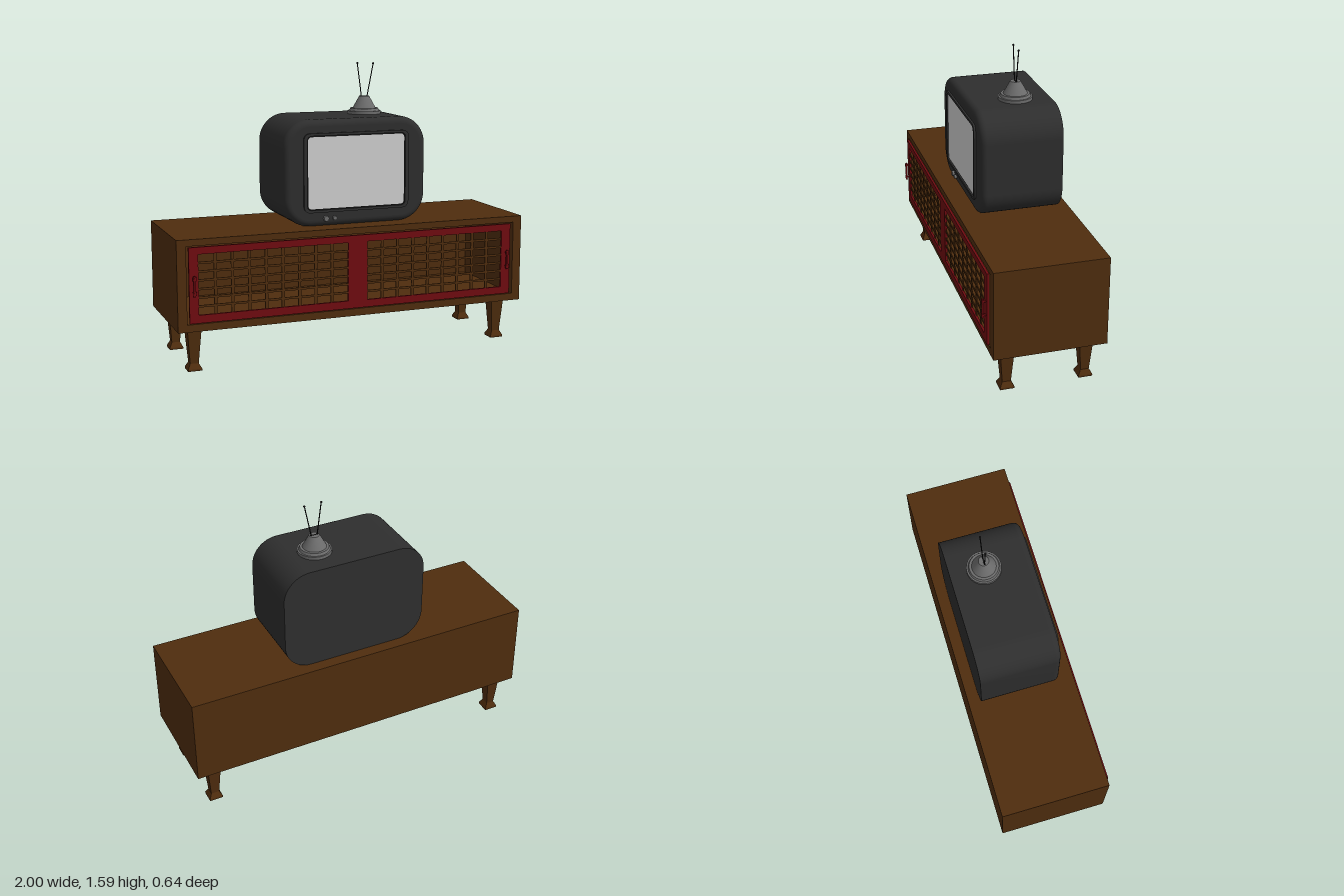
import * as THREE from 'three';

const mat = (name, color, side = THREE.FrontSide) => {
  const m = new THREE.MeshStandardMaterial({ color, side });
  m.name = name;
  return m;
};

// Rounded rectangle as a counter-clockwise list of points
function roundedRect(w, h, r, steps = 12) {
  const pts = [];
  const corners = [[1, 1], [-1, 1], [-1, -1], [1, -1]];
  corners.forEach(([sx, sy], k) => {
    for (let i = 0; i <= steps; i++) {
      const a = (k + i / steps) * Math.PI / 2;
      pts.push(new THREE.Vector2(sx * (w / 2 - r) + Math.cos(a) * r, sy * (h / 2 - r) + Math.sin(a) * r));
    }
  });
  return pts;
}

// Television shell: straight sides, flat back, softly rounded front edge
function shellGeometry(w, h, r, back, front, edge) {
  const rings = [[0, back], [0, front - edge]];
  for (let i = 1; i <= 8; i++) {
    const a = i / 8 * Math.PI / 2;
    rings.push([edge * (1 - Math.cos(a)), front - edge + edge * Math.sin(a)]);
  }
  const pos = [], idx = [];
  const addRing = ([d, z]) => {
    const pts = roundedRect(w - 2 * d, h - 2 * d, r - d);
    pts.forEach(p => pos.push(p.x, p.y, z));
    return pts.length;
  };
  let n = 0;
  rings.forEach(ring => { n = addRing(ring); });
  for (let i = 0; i < rings.length - 1; i++) {
    for (let j = 0; j < n; j++) {
      const k = (j + 1) % n;
      const a = i * n + j, b = i * n + k, c = b + n, d = a + n;
      idx.push(a, b, c, a, c, d);
    }
  }
  // Flat end caps with their own vertices
  [rings[0], rings[rings.length - 1]].forEach((ring, cap) => {
    const s = pos.length / 3;
    addRing(ring);
    for (let j = 1; j < n - 1; j++) {
      if (cap) idx.push(s, s + j, s + j + 1);
      else idx.push(s, s + j + 1, s + j);
    }
  });
  const g = new THREE.BufferGeometry();
  g.setAttribute('position', new THREE.Float32BufferAttribute(pos, 3));
  g.setIndex(idx);
  g.computeVertexNormals();
  return g;
}

// Flat frame with one or more rectangular holes: rectangles are [x0, x1, y0, y1]
function frameGeometry(outer, holes, depth) {
  const corners = ([x0, x1, y0, y1]) => [[x0, y0], [x1, y0], [x1, y1], [x0, y1]].map(p => new THREE.Vector2(...p));
  const shape = new THREE.Shape(corners(outer));
  holes.forEach(h => shape.holes.push(new THREE.Path(corners(h))));
  return new THREE.ExtrudeGeometry(shape, { depth, bevelEnabled: false });
}

export function createModel() {
  const wood = mat('brown wood', 0x4f2d0e);
  const red = mat('dark red', 0x700b10);
  const plastic = mat('charcoal plastic', 0x2e2e2e);
  const glass = mat('pale screen', 0xd0d0d0);
  const metal = mat('grey metal', 0x6c6c6c);
  const black = mat('black', 0x121212);
  const woodFlat = wood.clone();
  woodFlat.flatShading = true;

  const model = new THREE.Group();
  const group = (name, parent = model) => {
    const g = new THREE.Group();
    g.name = name;
    parent.add(g);
    return g;
  };
  const add = (parent, name, geo, m, x = 0, y = 0, z = 0) => {
    const mesh = new THREE.Mesh(geo, m);
    mesh.name = name;
    mesh.position.set(x, y, z);
    parent.add(mesh);
    return mesh;
  };
  const box = (parent, name, m, w, h, d, x, y, z) =>
    add(parent, name, new THREE.BoxGeometry(w, h, d), m, x, y, z);

  // Hollow cabinet
  const cabinet = group('cabinet');
  add(cabinet, 'carcass', frameGeometry([-1, 1, 0.23, 0.72], [[-0.95, 0.95, 0.27, 0.685]], 0.585), wood, 0, 0, -0.3);
  box(cabinet, 'backPanel', wood, 2, 0.49, 0.02, 0, 0.475, -0.31);

  // Square legs that taper down to a flared foot
  const legProfile = [[0, 0], [0.038, 0], [0.038, 0.01], [0.023, 0.038], [0.038, 0.225], [0.038, 0.235], [0, 0.235]]
    .map(([half, y]) => new THREE.Vector2(half * Math.SQRT2, y));
  const legGeo = new THREE.LatheGeometry(legProfile, 4, Math.PI / 4);
  for (const x of [-0.9, 0.89]) {
    for (const z of [0.19, -0.235]) add(cabinet, 'leg', legGeo, woodFlat, x, 0, z);
  }

  // Doors with lattice panels and pull handles
  const doors = [
    { name: 'rightDoor', outer: [-0.94, -0.01, 0.277, 0.68], hole: [-0.89, -0.06, 0.32, 0.642], handle: -0.915 },
    { name: 'leftDoor', outer: [-0.01, 0.925, 0.277, 0.68], hole: [0.05, 0.87, 0.318, 0.642], handle: 0.9 },
  ];
  for (const { name, outer, hole, handle } of doors) {
    const door = group(name);
    add(door, 'doorFrame', frameGeometry(outer, [hole], 0.013), red, 0, 0, 0.284);
    const [x0, x1, y0, y1] = hole;
    const w = x1 - x0, h = y1 - y0;
    for (let i = 1; i < 9; i++) {
      box(door, 'uprightSlat', wood, 0.016, h, 0.006, x0 + w * i / 9, (y0 + y1) / 2, 0.287);
    }
    for (let i = 1; i < 7; i++) {
      box(door, 'crossSlat', wood, w, 0.012, 0.005, (x0 + x1) / 2, y0 + h * i / 7, 0.291);
    }
    const pull = group('handle', door);
    box(pull, 'handleBar', red, 0.01, 0.11, 0.01, handle, 0.477, 0.312);
    for (const y of [0.439, 0.517]) {
      const post = add(pull, 'handlePost', new THREE.CylinderGeometry(0.006, 0.006, 0.026, 10), red, handle, y, 0.307);
      post.rotation.x = Math.PI / 2;
      box(pull, 'handleCollar', red, 0.02, 0.02, 0.008, handle, y, 0.314);
    }
  }

  // Television body
  const tv = group('television');
  const cx = 0.0275;
  add(tv, 'shell', shellGeometry(0.825, 0.58, 0.15, -0.255, 0.19, 0.035), plastic, cx, 1.01, 0);

  // Raised screen surround and the screen itself
  const surround = new THREE.Shape(roundedRect(0.61, 0.43, 0.035, 6));
  surround.holes.push(new THREE.Path(roundedRect(0.572, 0.402, 0.024, 6).reverse()));
  add(tv, 'screenSurround', new THREE.ExtrudeGeometry(surround, { depth: 0.015, bevelEnabled: false }),
    plastic, cx, 1.013, 0.186);
  add(tv, 'screenGap', new THREE.ShapeGeometry(new THREE.Shape(roundedRect(0.58, 0.41, 0.026, 6))),
    black, cx, 1.013, 0.192);
  add(tv, 'screen', new THREE.ShapeGeometry(new THREE.Shape(roundedRect(0.56, 0.39, 0.02, 6))),
    glass, cx, 1.013, 0.195);

  // Control knobs
  for (const [x, r] of [[-0.15, 0.017], [-0.1, 0.013]]) {
    const knob = add(tv, 'knob', new THREE.CylinderGeometry(r * 0.85, r, 0.018, 20), metal, x, 0.763, 0.194);
    knob.rotation.x = Math.PI / 2;
  }

  // Antenna: stepped base, cone and two rods
  const antenna = group('antenna');
  antenna.position.set(0.177, 1.3, -0.07);
  add(antenna, 'basePlate', new THREE.CylinderGeometry(0.093, 0.093, 0.018, 32), metal, 0, 0.008, 0);
  add(antenna, 'baseStep', new THREE.CylinderGeometry(0.078, 0.084, 0.014, 32), metal, 0, 0.024, 0);
  add(antenna, 'baseCone', new THREE.CylinderGeometry(0.028, 0.066, 0.069, 32), metal, 0, 0.0635, 0);
  box(antenna, 'rodSlot', black, 0.046, 0.002, 0.008, 0, 0.098, 0);
  for (const [x0, x1, top] of [[-0.016, -0.042, 0.282], [0.016, 0.054, 0.279]]) {
    const a = new THREE.Vector3(x0, 0.09, 0), b = new THREE.Vector3(x1, top, 0);
    add(antenna, 'rod', new THREE.TubeGeometry(new THREE.LineCurve3(a, b), 1, 0.003, 8), black);
    add(antenna, 'rodTip', new THREE.SphereGeometry(0.006, 10, 8), black, x1, top, 0);
  }

  return model;
}
